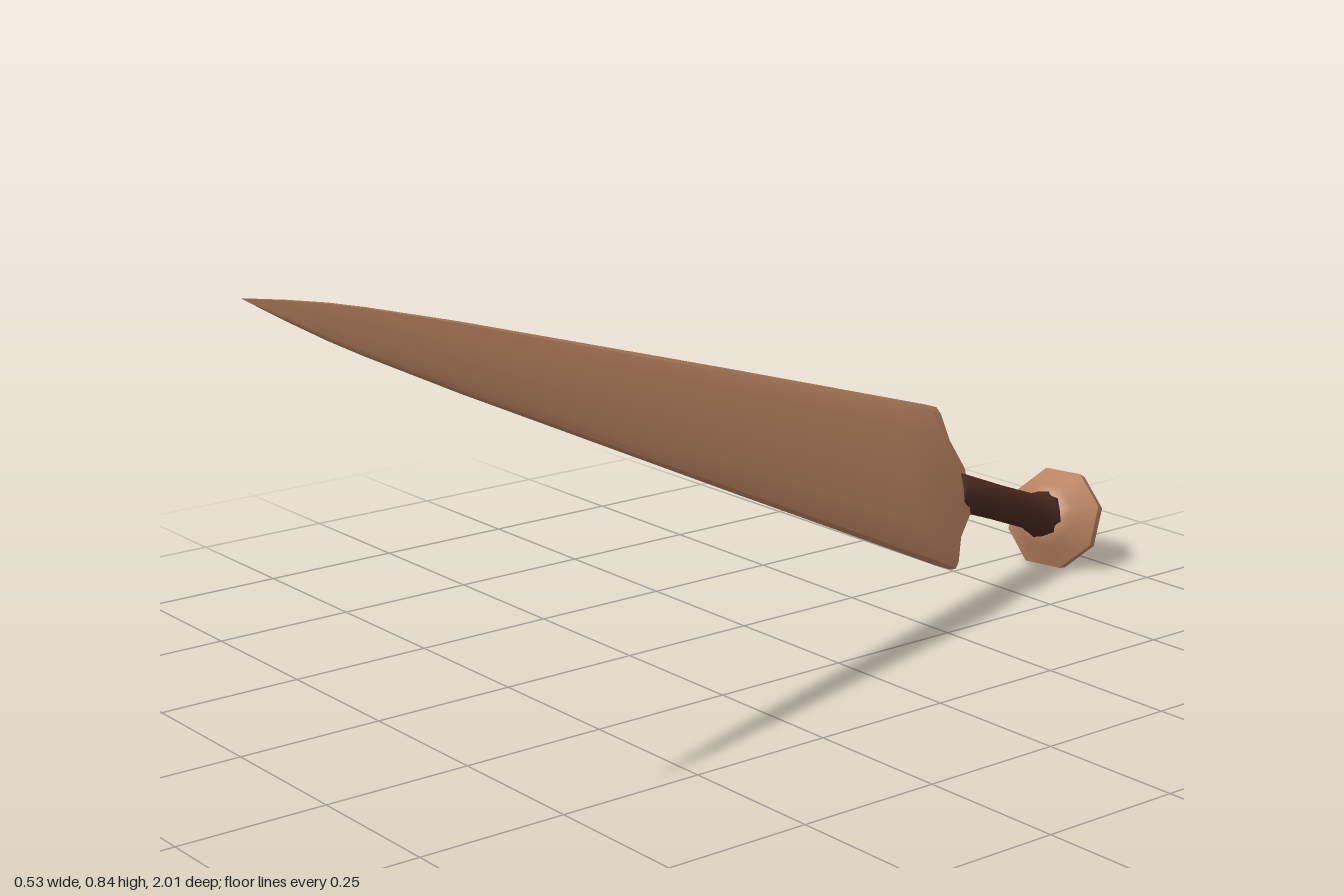
import * as THREE from 'three';
import { toCreasedNormals } from 'three/addons/utils/BufferGeometryUtils.js';

const bronze = new THREE.MeshStandardMaterial({ color: 0xb98260 });
bronze.name = 'bronze';
const grip = new THREE.MeshStandardMaterial({ color: 0x4a2a20 });
grip.name = 'dark grip';

// Piecewise linear lookup in a list of [position, value]
function lookup(list, p) {
  for (let i = 1; i < list.length; i++) {
    const [a, va] = list[i - 1], [b, vb] = list[i];
    if (p <= b) return va + (vb - va) * (p - a) / (b - a);
  }
  return list[list.length - 1][1];
}

// Blade along +y, broad in x, thin in z
function bladeGeometry() {
  const halfWidth = [[-0.1, 0.147], [0, 0.146], [0.64, 0.101], [1.3, 0.052], [1.5, 0.034],
    [1.57, 0.026], [1.65, 0.014], [1.728, 0.0005]];
  const shoulder = [[0, -0.06], [0.28, -0.058], [0.6, -0.018], [0.92, -0.004], [1, 0.002]];
  const section = [[0, 0.024], [0.6, 0.02], [0.92, 0.015], [1, 0.009]];
  const columns = [-1, -0.92, -0.6, -0.28, 0, 0.28, 0.6, 0.92, 1];
  const stations = [0.15, 0.4, 0.64, 0.95, 1.3, 1.5, 1.57, 1.65, 1.728];
  const n = columns.length, ring = n * 2, rows = stations.length + 2;
  const pos = [], idx = [];

  for (let r = 0; r < rows; r++) {
    for (let k = 0; k < ring; k++) {
      const front = k < n;
      const f = columns[front ? k : ring - 1 - k];
      const start = lookup(shoulder, Math.abs(f));
      const y = r === 0 ? start : r === 1 ? start + 0.04 : stations[r - 2];
      const w = lookup(halfWidth, y);
      // thinner at the bevelled shoulder and towards the point
      const taper = r === 0 ? 0.6 : Math.min(1, Math.pow(w / 0.146, 0.8));
      const z = lookup(section, Math.abs(f)) * taper;
      pos.push(f * w, y, front ? z : -z);
    }
  }
  for (let r = 0; r < rows - 1; r++) {
    for (let k = 0; k < ring; k++) {
      const a = r * ring + k, b = r * ring + (k + 1) % ring;
      idx.push(a, b, b + ring, a, b + ring, a + ring);
    }
  }
  // end face of the shoulder
  for (let k = 0; k < n - 1; k++) {
    const a = k, b = k + 1, c = ring - 2 - k, d = ring - 1 - k;
    idx.push(a, d, c, a, c, b);
  }
  const g = new THREE.BufferGeometry();
  g.setAttribute('position', new THREE.Float32BufferAttribute(pos, 3));
  g.setIndex(idx);
  return toCreasedNormals(g, 0.4);
}

function lathe(profile, sides) {
  return new THREE.LatheGeometry(profile.map(([r, y]) => new THREE.Vector2(r, y)), sides);
}

export function createModel() {
  const model = new THREE.Group();
  model.name = 'dagger';
  const add = (name, geometry, material) => {
    const mesh = new THREE.Mesh(geometry, material);
    mesh.name = name;
    model.add(mesh);
    return mesh;
  };

  add('blade', bladeGeometry(), bronze);

  // Grip, flaring where it meets the pommel
  add('handle', lathe([[0, -0.35], [0.045, -0.345], [0.041, -0.335], [0.033, -0.3],
    [0.032, -0.18], [0.034, -0.03], [0, -0.03]], 12), grip);

  // Eight-sided mushroom pommel
  add('pommel', toCreasedNormals(lathe([[0, -0.462], [0.035, -0.456], [0.066, -0.44], [0.093, -0.408],
    [0.096, -0.388], [0.06, -0.355], [0.042, -0.338], [0, -0.336]], 8), 0.85), bronze);

  // Tilted pose: blade axis points forward and up
  const along = new THREE.Vector3(0.355, 0.615, 1.575).normalize();
  const face = new THREE.Vector3(-0.13, 0.25, -0.07).cross(along).normalize();
  const across = along.clone().cross(face);
  model.quaternion.setFromRotationMatrix(new THREE.Matrix4().makeBasis(across, along, face));
  model.position.set(-0.095, 0.23, -0.575);
  return model;
}
